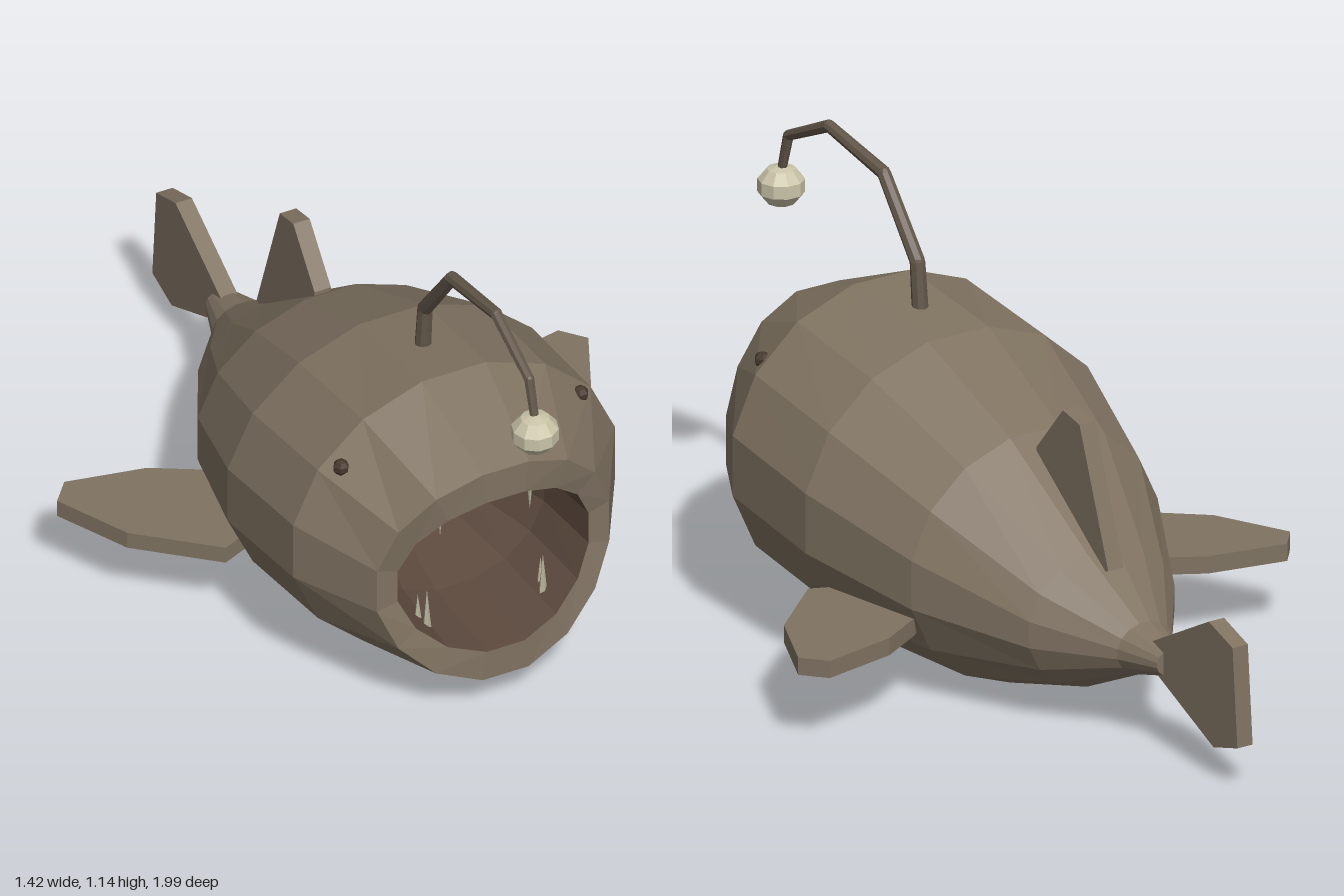
import * as THREE from 'three';

const SIDES = 16;

function mat(name, color, side = THREE.FrontSide) {
  const m = new THREE.MeshStandardMaterial({ color, flatShading: true, side });
  m.name = name;
  return m;
}

// Skin over elliptical rings; each ring is [z, top, bottom, halfWidth, sideSetback]
function loft(rings) {
  const k = Math.cos(Math.PI / SIDES);
  const positions = [], index = [];
  for (const [z, top, bottom, w, setback = 0] of rings) {
    for (let j = 0; j < SIDES; j++) {
      const a = ((j + 0.5) / SIDES) * Math.PI * 2;
      const c = Math.cos(a), s = Math.sin(a);
      positions.push((c * w) / k, (top + bottom) / 2 + (s * (top - bottom)) / 2 / k, z - setback * c * c);
    }
  }
  for (let i = 0; i < rings.length - 1; i++) {
    for (let j = 0; j < SIDES; j++) {
      const n = (j + 1) % SIDES;
      const a = i * SIDES + j, b = i * SIDES + n, c = a + SIDES, d = b + SIDES;
      index.push(a, c, b, b, c, d);
    }
  }
  const g = new THREE.BufferGeometry();
  g.setAttribute('position', new THREE.Float32BufferAttribute(positions, 3));
  g.setIndex(index);
  g.computeVertexNormals();
  return g;
}

// Flat plate from an outline, centred on its own thickness
function plate(points, thickness) {
  const shape = new THREE.Shape(points.map(([x, y]) => new THREE.Vector2(x, y)));
  const g = new THREE.ExtrudeGeometry(shape, { depth: thickness, bevelEnabled: false });
  return g.translate(0, 0, -thickness / 2);
}

export function createModel() {
  const group = new THREE.Group();
  group.name = 'anglerFish';
  const skin = mat('skin', 0x7f7261);
  const mouthSkin = mat('mouth lining', 0x5d4a3e, THREE.DoubleSide);
  const stalkSkin = mat('stalk', 0x63574a);
  const glow = mat('lure', 0xc9c4a8);
  const bone = mat('teeth', 0xb8b39c);
  const eyeDark = mat('eyes', 0x46382c);

  const add = (name, geometry, material, parent = group) => {
    const m = new THREE.Mesh(geometry, material);
    m.name = name;
    parent.add(m);
    return m;
  };

  // Body with lip and tail end
  add('body', loft([
    [0.79, 0.615, 0.175, 0.255, 0.07],
    [0.79, 0.70, 0.095, 0.31, 0.07],
    [0.52, 0.81, 0.04, 0.43],
    [0.20, 0.77, 0.0, 0.44],
    [-0.12, 0.625, 0.0, 0.355],
    [-0.40, 0.415, 0.075, 0.21],
    [-0.58, 0.29, 0.16, 0.078],
    [-0.69, 0.258, 0.19, 0.04],
    [-0.69, 0.224, 0.224, 0],
  ]), skin);

  // Mouth cavity
  add('mouth', loft([
    [0.22, 0.365, 0.365, 0],
    [0.22, 0.433, 0.297, 0.058],
    [0.32, 0.535, 0.215, 0.17],
    [0.52, 0.60, 0.18, 0.24],
    [0.79, 0.615, 0.175, 0.255, 0.07],
  ]), mouthSkin);

  // Teeth: slender spikes in pairs, upper pointing down and lower pointing up
  const teeth = new THREE.Group();
  teeth.name = 'teeth';
  group.add(teeth);
  for (const side of [-1, 1]) {
    for (const [x, root, length, dir] of [[0.12, 0.595, 0.125, -1], [0.155, 0.2, 0.125, 1]]) {
      for (const [dx, dz, scale] of [[0, 0, 1], [0.009, -0.03, 0.75]]) {
        const len = length * scale;
        const t = add('tooth', new THREE.ConeGeometry(0.012, len, 5), bone, teeth);
        t.position.set(side * (x + dx), root + (dir * len) / 2, 0.68 + dz);
        if (dir < 0) t.rotation.x = Math.PI;
      }
    }
  }

  // Eyes
  for (const side of [-1, 1]) {
    const eye = add(side > 0 ? 'leftEye' : 'rightEye', new THREE.SphereGeometry(0.021, 6, 5), eyeDark);
    eye.position.set(side * 0.32, 0.66, 0.555);
  }

  // Stalk: tapering segments with a small joint at each bend
  const stalk = new THREE.Group();
  stalk.name = 'stalk';
  group.add(stalk);
  const path = [[0.74, 0.355], [0.90, 0.37], [1.08, 0.51], [1.125, 0.74], [1.045, 0.91], [0.94, 0.94]]
    .map(([y, z]) => new THREE.Vector3(0, y, z));
  const radius = (i) => 0.021 - i * 0.002;
  for (let i = 0; i < path.length - 1; i++) {
    const dir = path[i + 1].clone().sub(path[i]);
    const seg = add('stalkSegment', new THREE.CylinderGeometry(radius(i + 1), radius(i), dir.length(), 8), stalkSkin, stalk);
    seg.position.copy(path[i]).addScaledVector(dir, 0.5);
    seg.quaternion.setFromUnitVectors(new THREE.Vector3(0, 1, 0), dir.normalize());
    if (i > 0) add('stalkJoint', new THREE.SphereGeometry(radius(i), 8, 6), stalkSkin, stalk).position.copy(path[i]);
  }

  // Glowing lure
  const lure = add('lure', new THREE.SphereGeometry(0.06, 10, 5), glow);
  lure.scale.y = 0.88;
  lure.position.set(0, 0.908, 0.94);

  // Upright fins, outlined as (-z, y)
  const upright = {
    tailFin: [[0.64, 0.2], [0.90, 0.08], [1.0, 0.11], [0.98, 0.36], [0.88, 0.395], [0.64, 0.265]],
    dorsalFin: [[0.16, 0.52], [0.40, 0.36], [0.46, 0.385], [0.34, 0.72], [0.27, 0.735], [0.16, 0.605]],
  };
  for (const [name, outline] of Object.entries(upright)) {
    add(name, plate(outline, 0.044).rotateY(Math.PI / 2), skin);
  }

  // Side fins, outlined as (x, -z)
  const finOutline = [[0.28, -0.12], [0.44, -0.19], [0.62, -0.03], [0.71, 0.16], [0.66, 0.22], [0.46, 0.18], [0.34, 0.11], [0.28, 0.06]];
  for (const side of [-1, 1]) {
    const fin = plate(finOutline.map(([x, y]) => [side * x, y]), 0.044).rotateX(-Math.PI / 2);
    add(side > 0 ? 'leftFin' : 'rightFin', fin, skin).position.y = 0.2;
  }

  return group;
}
